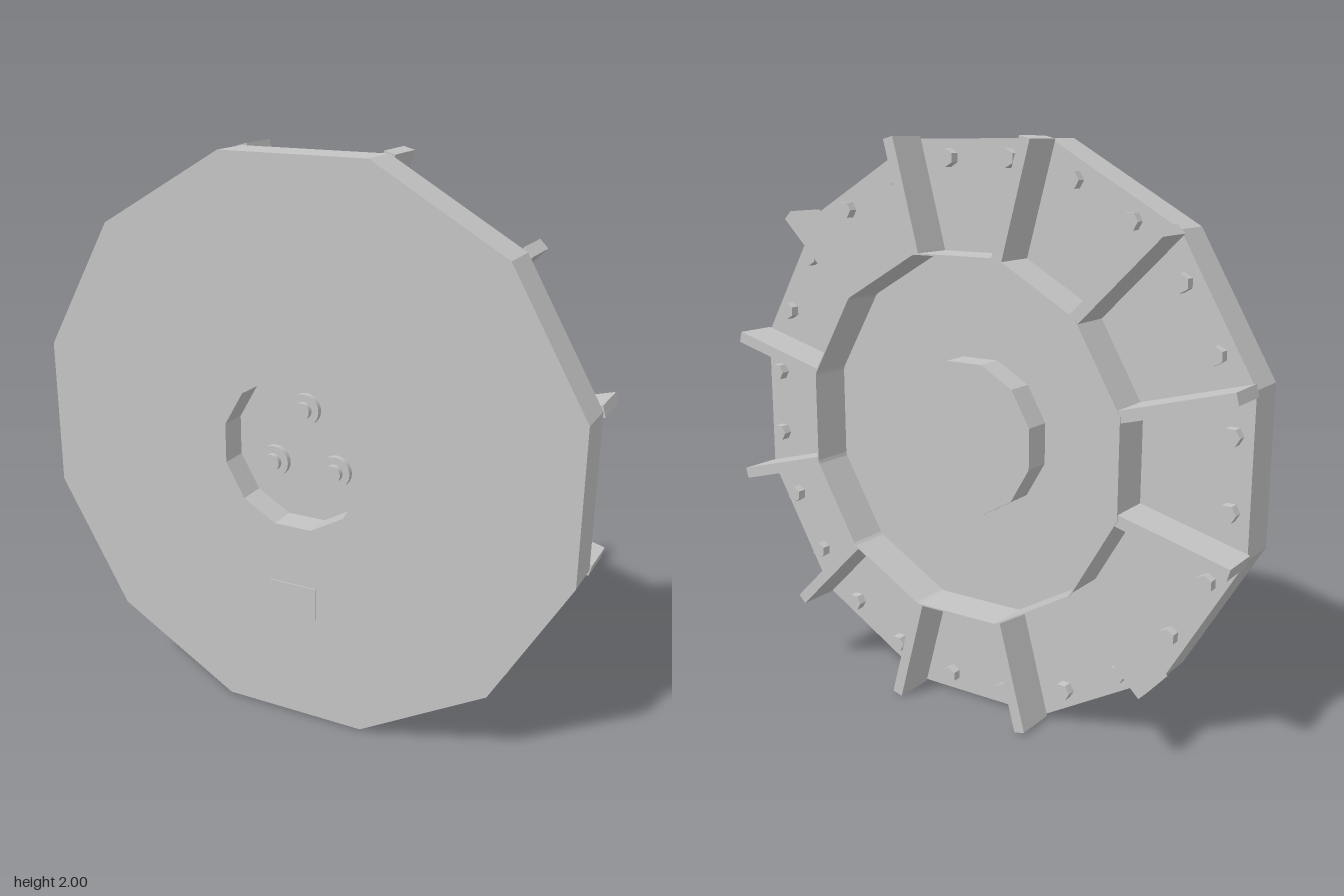
import * as THREE from 'three';

const SIDES = 12;
const STEP = (Math.PI * 2) / SIDES;
const circum = (apothem) => apothem / Math.cos(STEP / 2);

// Faceted twelve-sided solid around the z axis; profile pairs are [apothem, z], back to front
function facetedRound(profile) {
  const points = profile.map(([a, z]) => new THREE.Vector2(circum(a), z));
  const lathe = new THREE.LatheGeometry(points, SIDES, STEP / 2);
  const geometry = lathe.rotateX(Math.PI / 2).toNonIndexed();
  geometry.computeVertexNormals();
  return geometry;
}

// Faceted bolt whose base sits at z = 0 and whose head points to +z
function peg(radius, height, sides, flat) {
  let geometry = new THREE.CylinderGeometry(radius, radius, height, sides);
  geometry.rotateX(Math.PI / 2).translate(0, 0, height / 2);
  if (flat) {
    geometry = geometry.toNonIndexed();
    geometry.computeVertexNormals();
  }
  return geometry;
}

export function createModel() {
  const grey = new THREE.MeshStandardMaterial({ color: 0xc4c4c4 });
  grey.name = 'light grey';
  const model = new THREE.Group();
  model.name = 'ribbedDisc';

  const add = (name, geometry, parent = model) => {
    const mesh = new THREE.Mesh(geometry, grey);
    mesh.name = name;
    parent.add(mesh);
    return mesh;
  };

  // Main disc with a front recess and a raised boss at the back
  add('disc', facetedRound([
    [0, -0.1], [0.262, -0.1], [0.262, 0], [0.992, 0],
    [0.992, 0.152], [0.262, 0.152], [0.262, 0.05], [0, 0.05],
  ]));

  // Thin open collar standing on the back
  add('collar', facetedRound([
    [0.617, 0], [0.617, -0.155], [0.622, -0.155], [0.622, 0],
  ]));

  // Fins at the corners, and a pair of hex bolts on each segment between them
  const finGeometry = new THREE.BoxGeometry(0.04, 1.03 - 0.637, 0.152)
    .translate(0, (1.03 + 0.637) / 2, -0.076);
  const boltGeometry = peg(0.031, 0.034, 6, true).rotateY(Math.PI);
  for (let i = 0; i < SIDES; i++) {
    const segment = new THREE.Group();
    segment.name = 'segment';
    segment.rotation.z = i * STEP;
    model.add(segment);
    add('fin', finGeometry, segment).rotation.z = STEP / 2;
    for (const side of [-1, 1]) {
      add('backBolt', boltGeometry, segment).position.set(side * 0.12, 0.93, 0);
    }
  }

  // Three stepped studs in the front recess
  const washer = peg(0.056, 0.02, 24);
  const stud = peg(0.03, 0.04, 24);
  for (let i = 0; i < 3; i++) {
    const angle = Math.PI / 2 + (i * Math.PI * 2) / 3;
    const x = 0.137 * Math.cos(angle), y = 0.137 * Math.sin(angle);
    add('studWasher', washer).position.set(x, y, 0.05);
    add('stud', stud).position.set(x, y, 0.05);
  }

  // Small thin plate on the front face
  add('frontPlate', new THREE.BoxGeometry(0.18, 0.12, 0.006)).position.set(0, -0.54, 0.153);

  for (const part of model.children) part.position.y += 1;
  return model;
}
